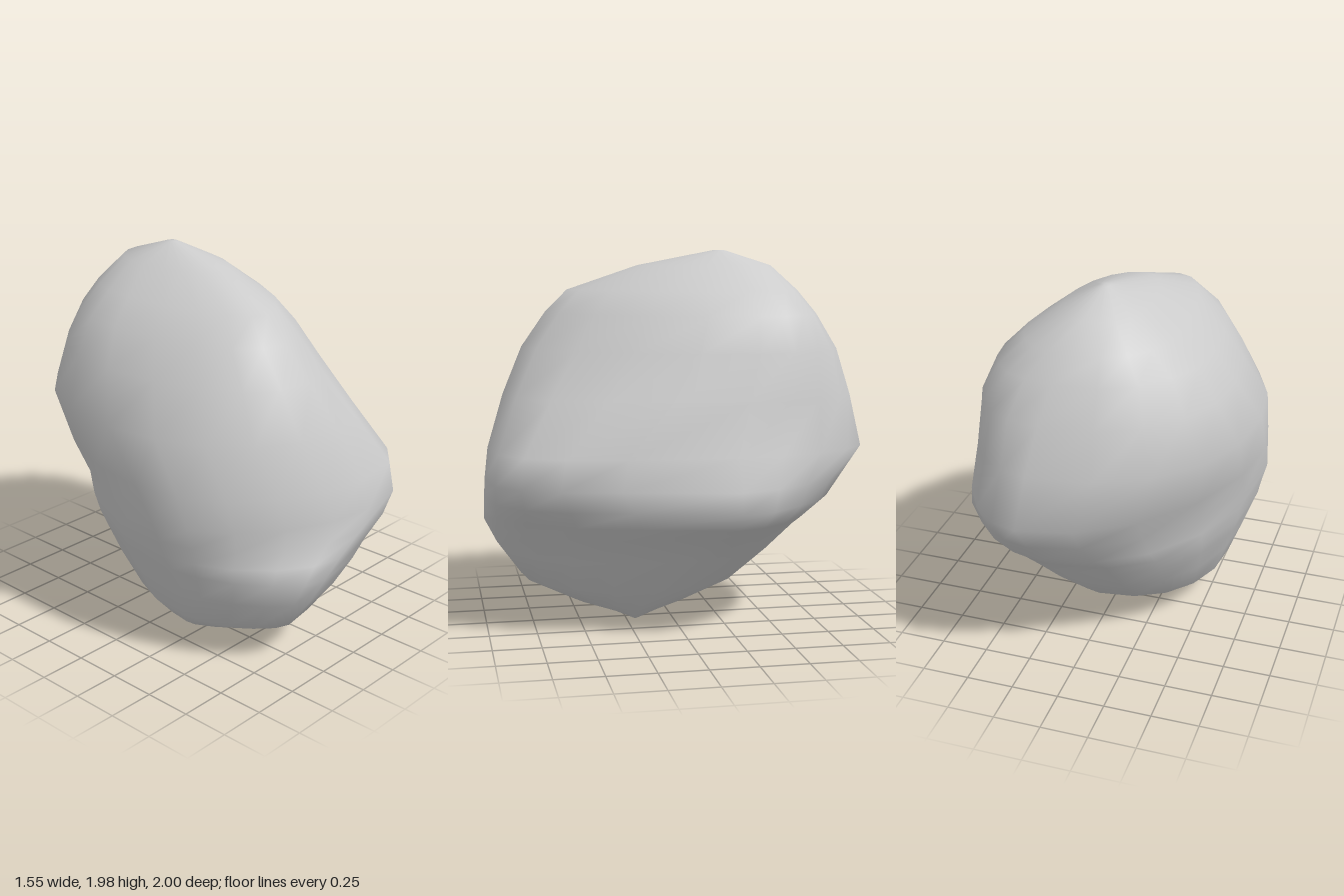
import * as THREE from 'three';

// Horizontal sections from bottom to top:
// y, left x, right x, back z, front z,
// z of the left tip, z of the right tip, x of the back tip, x of the front tip,
// fullness of the front right corner
const SECTIONS = [
  [0.00, -0.35, 0.06, 0.16, 0.24, 0.20, 0.20, -0.15, -0.15, 2.0],
  [0.09, -0.47, 0.15, -0.10, 0.54, 0.25, 0.18, -0.05, -0.20, 2.1],
  [0.20, -0.57, 0.26, -0.33, 0.79, 0.32, 0.12, 0.00, -0.28, 2.2],
  [0.38, -0.64, 0.40, -0.52, 0.92, 0.35, 0.00, 0.05, -0.28, 2.3],
  [0.52, -0.69, 0.50, -0.64, 0.99, 0.35, -0.12, 0.10, -0.25, 2.4],
  [0.60, -0.72, 0.60, -0.71, 0.995, 0.33, -0.20, 0.12, -0.15, 2.4],
  [0.69, -0.74, 0.63, -0.82, 1.00, 0.32, -0.22, 0.15, 0.00, 2.7],
  [0.80, -0.77, 0.635, -0.89, 1.00, 0.30, -0.22, 0.18, 0.08, 3.1],
  [0.96, -0.775, 0.645, -1.00, 0.98, 0.20, -0.22, 0.20, 0.05, 3.0],
  [1.23, -0.78, 0.59, -0.94, 0.89, 0.02, -0.30, 0.16, -0.05, 2.1],
  [1.47, -0.66, 0.55, -0.86, 0.78, -0.10, -0.36, 0.12, -0.15, 1.75],
  [1.65, -0.56, 0.47, -0.76, 0.65, -0.15, -0.38, 0.08, -0.18, 1.7],
  [1.77, -0.41, 0.35, -0.68, 0.53, -0.20, -0.35, 0.02, -0.18, 1.7],
  [1.90, -0.25, 0.17, -0.55, 0.16, -0.25, -0.30, 0.00, -0.10, 1.9],
  [1.98, -0.05, 0.01, -0.30, -0.24, -0.27, -0.27, -0.02, -0.02, 2.0],
];
const STEPS = 5; // points per quarter
const SIDES = STEPS * 4;

const bell = (value, centre, width) => Math.exp(-(((value - centre) / width) ** 2));

// Knob pushed out of the right side
function knob(x, y, z) {
  return x > 0 ? 0.14 * bell(y, 0.72, 0.18) * bell(z, -0.22, 0.28) : 0;
}

// One closed section: four rounded quarters joining its four tips
function sectionPoints([y, x0, x1, z0, z1, zL, zR, xB, xF, fullFR]) {
  const right = [x1, zR], front = [xF, z1], left = [x0, zL], back = [xB, z0];
  const quarters = [
    [right, front, [xF, zR], fullFR],
    [front, left, [xF, zL], 1.65 + 0.5 * THREE.MathUtils.smoothstep(y, 0.4, 1.2)],
    [left, back, [xB, zL], 2.2 - 0.45 * bell(y, 0.85, 0.22)],
    [back, right, [xB, zR], 2.0 + 0.4 * bell(y, 1.55, 0.25)],
  ];
  const points = [];
  for (const [from, to, centre, fullness] of quarters) {
    for (let i = 0; i < STEPS; i++) {
      const t = (i / STEPS) * Math.PI / 2;
      const a = Math.pow(Math.cos(t), 2 / fullness);
      const b = Math.pow(Math.sin(t), 2 / fullness);
      const x = centre[0] + (from[0] - centre[0]) * a + (to[0] - centre[0]) * b;
      const z = centre[1] + (from[1] - centre[1]) * a + (to[1] - centre[1]) * b;
      points.push(x + knob(x, y, z), y, z);
    }
  }
  return points;
}

// Skin the sections and close both ends
function boulderGeometry() {
  const positions = SECTIONS.flatMap(sectionPoints);
  const index = [];
  const last = SECTIONS.length - 1;
  for (let r = 0; r < last; r++) {
    for (let j = 0; j < SIDES; j++) {
      const k = (j + 1) % SIDES;
      const a = r * SIDES + j, c = r * SIDES + k;
      index.push(a, a + SIDES, c, a + SIDES, c + SIDES, c);
    }
  }
  const bottom = positions.length / 3;
  positions.push(-0.15, 0, 0.2, -0.02, 1.98, -0.27);
  for (let j = 0; j < SIDES; j++) {
    const k = (j + 1) % SIDES;
    index.push(bottom, j, k);
    index.push(bottom + 1, last * SIDES + k, last * SIDES + j);
  }
  const geometry = new THREE.BufferGeometry();
  geometry.setAttribute('position', new THREE.Float32BufferAttribute(positions, 3));
  geometry.setIndex(index);
  geometry.computeVertexNormals();
  return geometry;
}

export function createModel() {
  const group = new THREE.Group();
  group.name = 'rock';
  const boulder = new THREE.Mesh(
    boulderGeometry(), new THREE.MeshStandardMaterial({ color: 0xcccccc }));
  boulder.name = 'boulder';
  group.add(boulder);
  return group;
}
